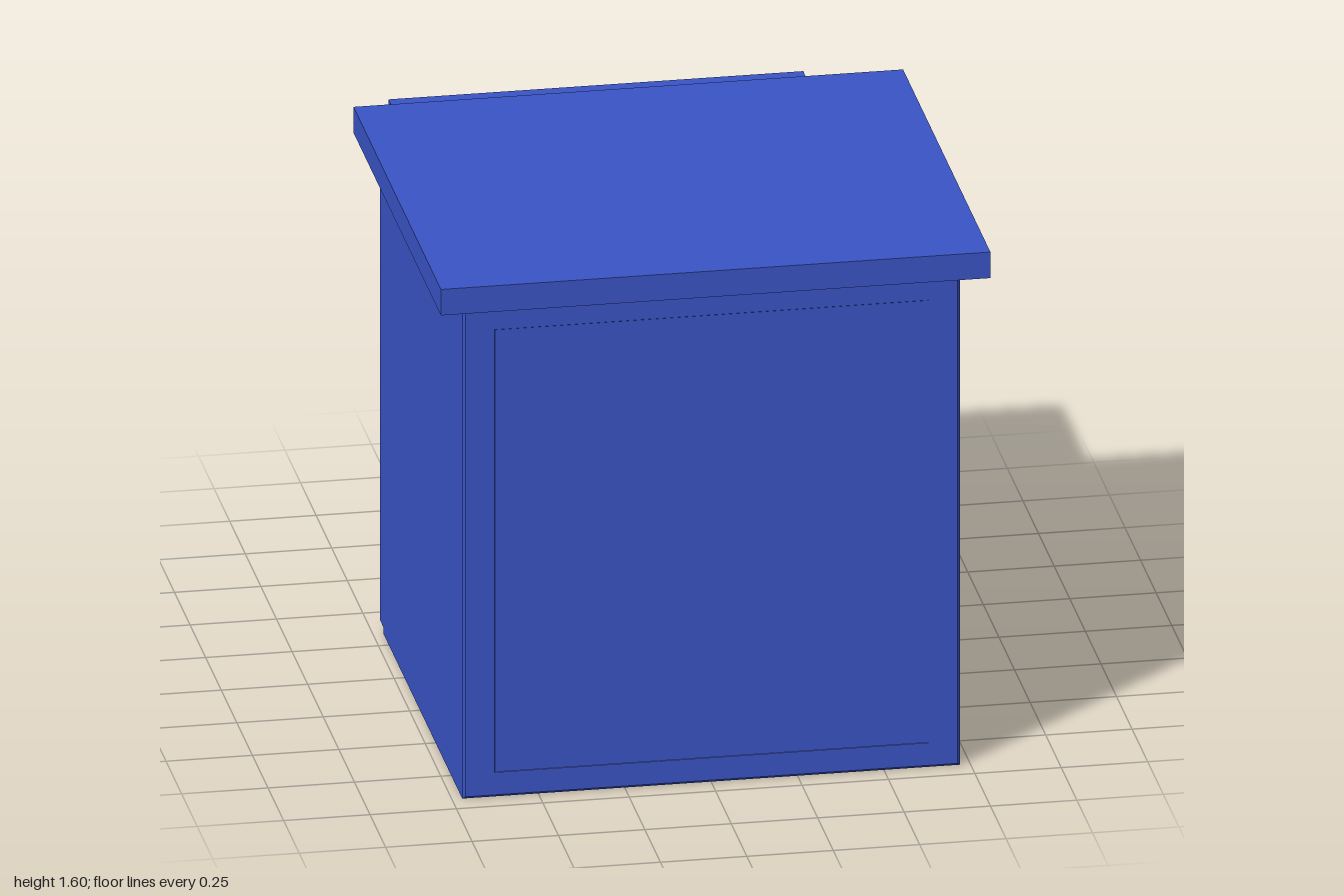
import * as THREE from 'three';

const material = new THREE.MeshStandardMaterial({ color: 0x3a54c6, flatShading: true });

function add(parent, name, geometry) {
  const mesh = new THREE.Mesh(geometry, material);
  mesh.name = name;
  parent.add(mesh);
  return mesh;
}

// Box given by its min and max on each axis
function box(parent, name, x0, x1, y0, y1, z0, z1) {
  const mesh = add(parent, name, new THREE.BoxGeometry(x1 - x0, y1 - y0, z1 - z0));
  mesh.position.set((x0 + x1) / 2, (y0 + y1) / 2, (z0 + z1) / 2);
  return mesh;
}

const polygon = (points) => points.map(([x, y]) => new THREE.Vector2(x, y));
const rect = (w, y0, y1) => polygon([[-w, y0], [w, y0], [w, y1], [-w, y1]]);

// Rectangular frame running along z, with small bevels that stay within its outline
function frame(outer, inner, z0, z1, bevel) {
  const shape = new THREE.Shape(rect(...outer));
  shape.holes.push(new THREE.Path(rect(...inner)));
  const geometry = new THREE.ExtrudeGeometry(shape, {
    depth: z1 - z0 - 2 * bevel, bevelEnabled: true,
    bevelThickness: bevel, bevelSize: bevel, bevelOffset: -bevel, bevelSegments: 1,
  });
  return geometry.translate(0, 0, z0 + bevel);
}

export function createModel() {
  const model = new THREE.Group();
  model.name = 'nightstand';

  // Cabinet: open towards -z
  const cabinet = new THREE.Group();
  cabinet.name = 'cabinet';
  model.add(cabinet);
  add(cabinet, 'cabinetShell', frame([0.72, 0, 1.52], [0.62, 0.085, 1.43], -0.34, 0.935, 0.008));
  box(cabinet, 'backPanel', -0.66, 0.66, 0.04, 1.48, 0.86, 0.934);
  box(cabinet, 'tableTop', -0.795, 0.795, 1.52, 1.6, -0.4, 1);

  // Upright trims with mitred ends beside the opening
  for (const side of [-1, 1]) {
    const shape = new THREE.Shape(polygon([
      [side * 0.72, 0.02], [side * 0.72, 1.51], [side * 0.62, 1.42], [side * 0.62, 0.1],
    ]));
    const geometry = new THREE.ExtrudeGeometry(shape, { depth: 0.055, bevelEnabled: false });
    add(cabinet, side > 0 ? 'leftTrim' : 'rightTrim', geometry.translate(0, 0, -0.39));
  }

  // Pulled-out drawer with a recessed front panel
  const drawer = new THREE.Group();
  drawer.name = 'drawer';
  model.add(drawer);
  add(drawer, 'drawerFrontFrame', frame([0.6, 0.8, 1.4], [0.555, 0.845, 1.355], -0.925, -0.89, 0.004));
  box(drawer, 'drawerFrontPanel', -0.6, 0.6, 0.8, 1.4, -0.905, -0.855);
  for (const side of [-1, 1]) {
    const wall = box(drawer, 'drawerSide', 0.525, 0.6, 0.8, 1.4, -0.9, 0.8);
    wall.position.x *= side;
  }
  box(drawer, 'drawerFloor', -0.53, 0.53, 0.8, 1.0, -0.9, 0.8);
  box(drawer, 'drawerBack', -0.53, 0.53, 0.8, 1.4, 0.73, 0.8);

  // Faceted knob: thin stem and a cone-shaped head
  const profile = polygon([[0, 0], [0.022, 0], [0.022, 0.05], [0.068, 0.05], [0.02, 0.1], [0, 0.1]]);
  const knob = add(drawer, 'knob', new THREE.LatheGeometry(profile, 8));
  knob.rotation.x = -Math.PI / 2;
  knob.position.set(0, 1.25, -0.9);

  return model;
}
